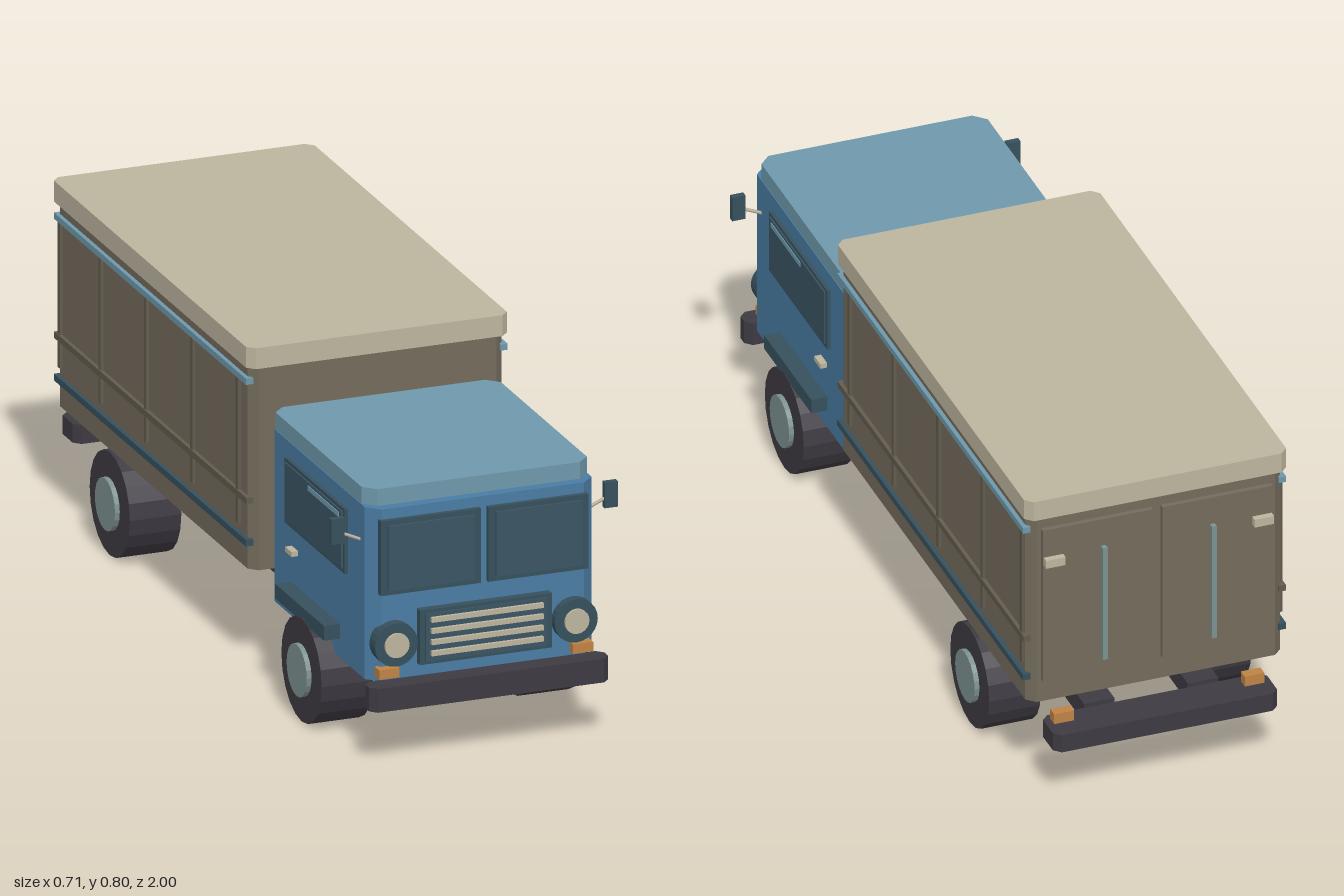
import * as THREE from 'three';

const mat = (name, color) => {
  const m = new THREE.MeshStandardMaterial({ color });
  m.name = name;
  return m;
};

export function createModel() {
  const M = {
    blue: mat('cab blue', 0x4a7ca3),
    paleBlue: mat('pale blue', 0x6f99ac),
    teal: mat('dark teal trim', 0x36505d),
    glass: mat('window glass', 0x3a5462),
    cream: mat('cream', 0xbcb59e),
    brown: mat('cargo brown', 0x736b5c),
    darkBrown: mat('rib brown', 0x635c4e),
    black: mat('rubber and chassis', 0x3d3a42),
    hub: mat('hub grey green', 0x7c928f),
    orange: mat('indicator orange', 0xbf8244),
  };
  const group = new THREE.Group();
  const add = (name, geo, material, x = 0, y = 0, z = 0) => {
    const mesh = new THREE.Mesh(geo, material);
    mesh.name = name;
    mesh.position.set(x, y, z);
    group.add(mesh);
    return mesh;
  };
  // Box given by its extents
  const box = (name, material, x0, x1, y0, y1, z0, z1) =>
    add(name, new THREE.BoxGeometry(Math.abs(x1 - x0), y1 - y0, z1 - z0), material,
      (x0 + x1) / 2, (y0 + y1) / 2, (z0 + z1) / 2);
  // Upright block whose four vertical corners are cut by c
  const prism = (name, material, w, y0, y1, z0, z1, c) => {
    const d = (z1 - z0) / 2;
    const pts = [[w, d - c], [w - c, d], [c - w, d], [-w, d - c],
      [-w, c - d], [c - w, -d], [w - c, -d], [w, c - d]];
    const shape = new THREE.Shape(pts.map(([x, y]) => new THREE.Vector2(x, y)));
    const geo = new THREE.ExtrudeGeometry(shape, { depth: y1 - y0, bevelEnabled: false });
    geo.rotateX(-Math.PI / 2);
    return add(name, geo, material, 0, y0, (z0 + z1) / 2);
  };
  // Flat-sided round along x or z
  const round = (name, material, r, len, axis, sides, x, y, z) => {
    const geo = new THREE.CylinderGeometry(r, r, len, sides);
    if (axis === 'x') geo.rotateZ(Math.PI / 2);
    else geo.rotateX(Math.PI / 2);
    const flat = geo.toNonIndexed();
    flat.computeVertexNormals();
    return add(name, flat, material, x, y, z);
  };

  // Cab and cargo body
  prism('cabBody', M.blue, 0.28, 0.195, 0.615, 0.325, 0.948, 0.03);
  prism('cabRoof', M.paleBlue, 0.278, 0.615, 0.656, 0.328, 0.922, 0.028);
  prism('cargoBody', M.brown, 0.313, 0.25, 0.746, -0.925, 0.29, 0.02);
  prism('cargoRoof', M.cream, 0.322, 0.746, 0.797, -0.938, 0.3, 0.018);

  // Bumpers
  prism('frontBumper', M.black, 0.295, 0.14, 0.198, 0.945, 1, 0.016);
  prism('rearBumper', M.black, 0.275, 0.15, 0.196, -1, -0.905, 0.016);

  // Grille
  box('grilleFrame', M.teal, -0.163, 0.163, 0.23, 0.363, 0.94, 0.968);
  box('grillePanel', M.glass, -0.15, 0.15, 0.238, 0.355, 0.96, 0.972);
  for (let i = 0; i < 4; i++) {
    const y = 0.258 + i * 0.0273;
    box('grilleBar', M.cream, -0.138, 0.138, y - 0.006, y + 0.006, 0.965, 0.98);
  }

  for (const s of [-1, 1]) {
    box('chassisRail', M.black, s * 0.09, s * 0.165, 0.15, 0.2, -0.895, 0.945);

    // Wheels
    for (const z of [0.63, -0.57]) {
      round('tyre', M.black, 0.126, 0.127, 'x', 20, s * 0.2585, 0.126, z);
      round('wheelHub', M.hub, 0.063, 0.03, 'x', 20, s * 0.319, 0.126, z);
    }
    box('fender', M.teal, s * 0.27, s * 0.32, 0.242, 0.278, 0.46, 0.765);

    // Windscreen halves
    box('windscreenFrame', M.teal, s * 0.009, s * 0.256, 0.408, 0.59, 0.94, 0.96);
    box('windscreenGlass', M.glass, s * 0.027, s * 0.24, 0.42, 0.578, 0.955, 0.966);

    // Side window with reflection strip
    box('sideWindowFrame', M.teal, s * 0.27, s * 0.289, 0.418, 0.576, 0.44, 0.815);
    box('sideWindowGlass', M.glass, s * 0.28, s * 0.293, 0.428, 0.568, 0.45, 0.805);
    box('windowReflection', M.paleBlue, s * 0.291, s * 0.295, 0.55, 0.562, 0.6, 0.79);
    box('doorHandle', M.cream, s * 0.278, s * 0.297, 0.355, 0.367, 0.463, 0.503);

    // Headlights and indicators
    round('headlightRim', M.teal, 0.053, 0.035, 'z', 24, s * 0.222, 0.288, 0.953);
    round('headlightLens', M.cream, 0.03, 0.02, 'z', 20, s * 0.222, 0.288, 0.967);
    box('frontIndicator', M.orange, s * 0.214, s * 0.264, 0.208, 0.231, 0.94, 0.97);
    box('rearIndicator', M.orange, s * 0.21, s * 0.258, 0.194, 0.222, -0.948, -0.922);

    // Wing mirror on its arm
    box('mirror', M.teal, s * 0.321, s * 0.354, 0.525, 0.587, 0.882, 0.898);
    const arm = new THREE.LineCurve3(
      new THREE.Vector3(s * 0.276, 0.526, 0.89), new THREE.Vector3(s * 0.325, 0.548, 0.89));
    add('mirrorArm', new THREE.TubeGeometry(arm, 1, 0.004, 6), M.cream);

    // Cargo side ribs and rails
    for (const z of [0.22, -0.065, -0.355, -0.64, -0.895])
      box('sideRib', M.darkBrown, s * 0.305, s * 0.32, 0.348, 0.708, z - 0.007, z + 0.007);
    box('upperRail', M.paleBlue, s * 0.305, s * 0.323, 0.705, 0.72, -0.918, 0.285);
    box('middleRail', M.darkBrown, s * 0.305, s * 0.322, 0.413, 0.429, -0.918, 0.285);
    box('lowerRail', M.teal, s * 0.305, s * 0.323, 0.31, 0.326, -0.918, 0.285);

    // Rear door with rod and latch
    box('rearDoor', M.brown, s * 0.012, s * 0.282, 0.31, 0.715, -0.938, -0.92);
    box('doorRod', M.hub, s * 0.128, s * 0.14, 0.345, 0.645, -0.952, -0.935);
    box('doorLatch', M.cream, s * 0.232, s * 0.28, 0.622, 0.643, -0.954, -0.935);
  }
  return group;
}
